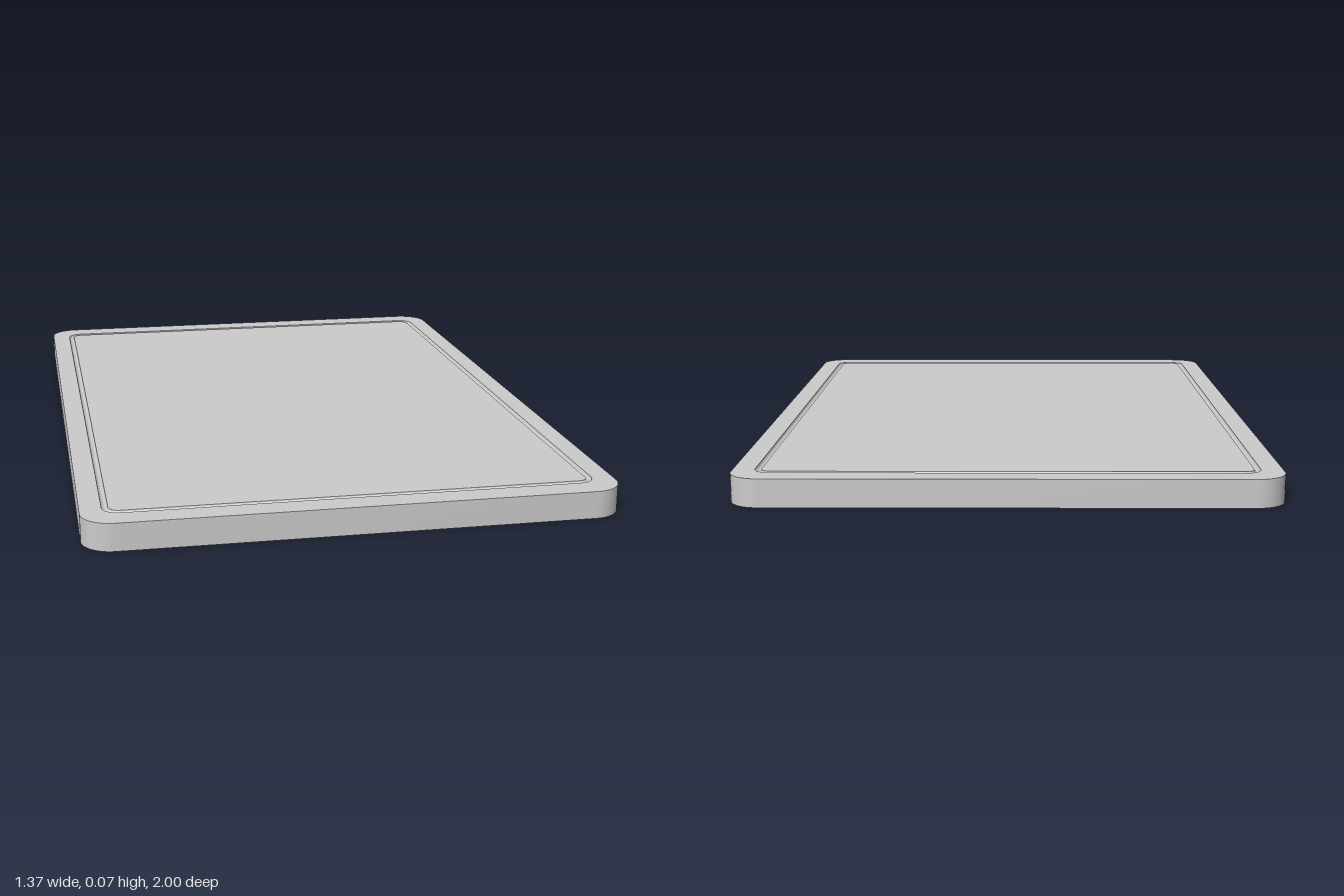
import * as THREE from 'three';
import { toCreasedNormals } from 'three/addons/utils/BufferGeometryUtils.js';

const HEIGHT = 0.072;
const CORNER_STEPS = 12;

// Rounded rectangle outline at height y, from half sizes and corner radius
function ring(halfX, halfZ, radius, y) {
  const points = [];
  for (let corner = 0; corner < 4; corner++) {
    const sx = corner === 0 || corner === 3 ? 1 : -1;
    const sz = corner < 2 ? 1 : -1;
    for (let i = 0; i <= CORNER_STEPS; i++) {
      const a = (corner + i / CORNER_STEPS) * Math.PI / 2;
      points.push(new THREE.Vector3(
        sx * (halfX - radius) + radius * Math.cos(a), y,
        sz * (halfZ - radius) + radius * Math.sin(a)));
    }
  }
  return points;
}

// Skin consecutive outlines and close both ends with flat caps
function loft(rings) {
  const positions = [];
  const tri = (...corners) => corners.forEach(p => positions.push(p.x, p.y, p.z));
  const count = rings[0].length;
  const first = rings[0], last = rings[rings.length - 1];
  const bottom = new THREE.Vector3(0, first[0].y, 0);
  const top = new THREE.Vector3(0, last[0].y, 0);
  for (let i = 0; i < count; i++) {
    const j = (i + 1) % count;
    tri(bottom, first[i], first[j]);
    for (let k = 0; k < rings.length - 1; k++) {
      const low = rings[k], high = rings[k + 1];
      tri(low[i], high[i], low[j]);
      tri(low[j], high[i], high[j]);
    }
    tri(top, last[j], last[i]);
  }
  const geometry = new THREE.BufferGeometry();
  geometry.setAttribute('position', new THREE.Float32BufferAttribute(positions, 3));
  return toCreasedNormals(geometry, 0.6);
}

export function createModel() {
  const group = new THREE.Group();
  group.name = 'cuttingBoard';

  // Straight outer wall
  const rings = [ring(0.685, 1, 0.08, 0), ring(0.685, 1, 0.08, HEIGHT)];

  // Half-round juice groove, from its outer edge to its inner edge
  const grooveHalfWidth = 0.008, grooveDepth = 0.008, steps = 8;
  for (let i = 0; i <= steps; i++) {
    const a = Math.PI * i / steps;
    const offset = grooveHalfWidth * Math.cos(a);
    rings.push(ring(0.622 + offset, 0.922 + offset, 0.035 + offset,
      HEIGHT - grooveDepth * Math.sin(a)));
  }

  const board = new THREE.Mesh(loft(rings), new THREE.MeshStandardMaterial({ color: 0xcccccc }));
  board.name = 'board';
  group.add(board);
  return group;
}
